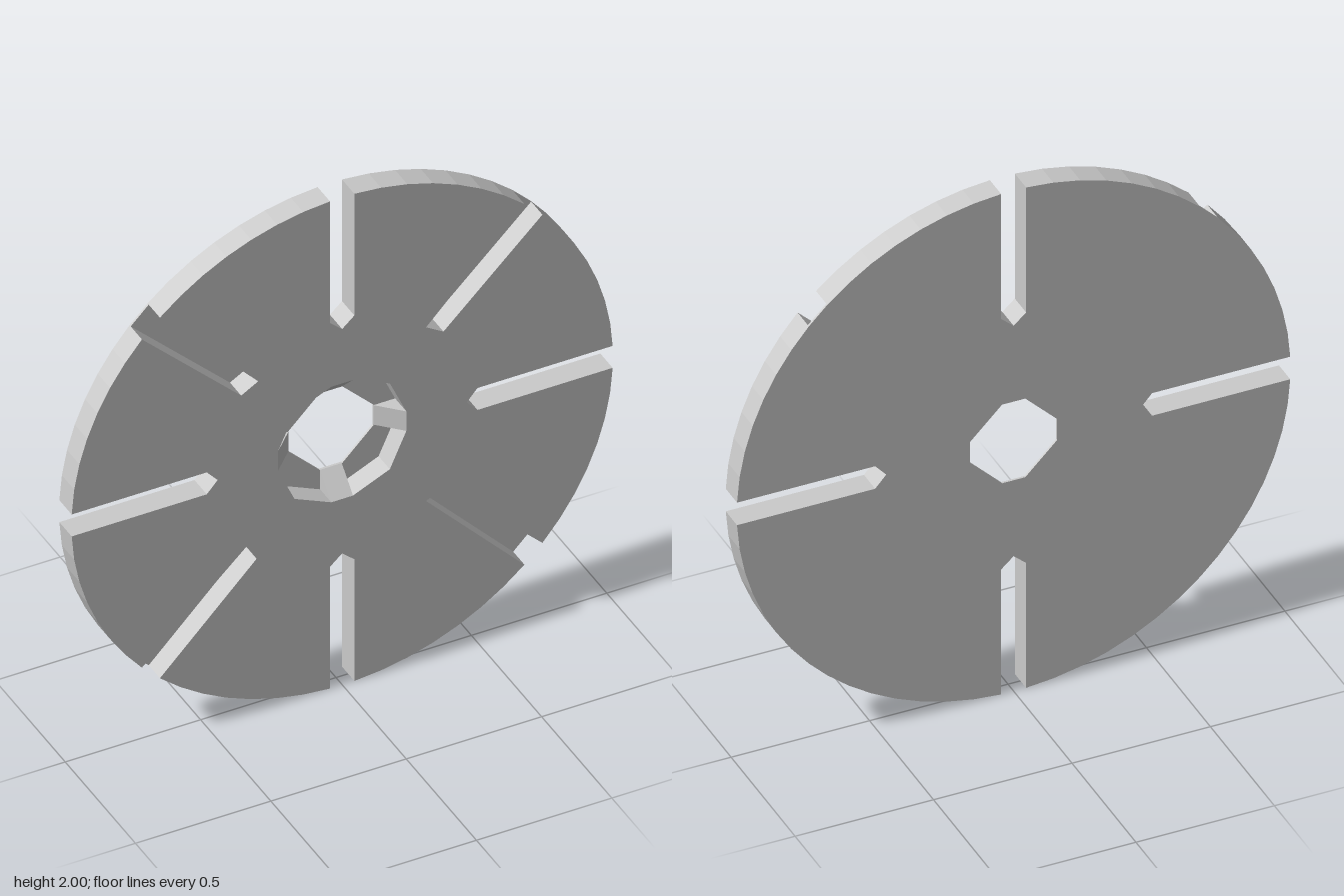
import * as THREE from 'three';

const FRONT = 0.044, BACK = -0.044, FLOOR = -0.036; // z levels
const SLOT = 0.045; // half width of the through slots
const STEPS = 7; // rim facets per half quadrant
const mat = new THREE.MeshStandardMaterial({ color: 0xcccccc, flatShading: true });

const V = (x, y) => new THREE.Vector2(x, y);
const turn = (pts, k) => pts.map((p) => {
  let [x, y] = [p.x, p.y];
  for (let i = 0; i < k; i++) [x, y] = [-y, x];
  return V(x, y);
});
// repeat one quadrant's points four times round the centre
const fourfold = (quadrant) => [0, 1, 2, 3].flatMap((k) => turn(quadrant(k), k));

function arc(a, b, steps) {
  return Array.from({ length: steps + 1 }, (_, i) => {
    const t = a + (b - a) * i / steps;
    return V(Math.cos(t), Math.sin(t));
  });
}

// flat face at height z, optionally facing backwards
function cap(outline, hole, z, backwards = false) {
  const shape = new THREE.Shape(outline);
  if (hole) shape.holes.push(new THREE.Path(hole));
  const g = new THREE.ShapeGeometry(shape);
  if (backwards) {
    const ix = g.index.array;
    for (let i = 0; i < ix.length; i += 3) [ix[i], ix[i + 1]] = [ix[i + 1], ix[i]];
    g.computeVertexNormals();
  }
  return g.translate(0, 0, z);
}

// wall along a closed outline; counter-clockwise outlines face outwards
function wall(pts, z0, z1) {
  const pos = [];
  pts.forEach((p, i) => {
    const q = pts[(i + 1) % pts.length];
    pos.push(p.x, p.y, z0, q.x, q.y, z0, q.x, q.y, z1);
    pos.push(p.x, p.y, z0, q.x, q.y, z1, p.x, p.y, z1);
  });
  const g = new THREE.BufferGeometry();
  g.setAttribute('position', new THREE.Float32BufferAttribute(pos, 3));
  g.computeVertexNormals();
  return g;
}

export function createModel() {
  const model = new THREE.Group();
  model.name = 'slottedDisc';
  const disc = new THREE.Group();
  disc.name = 'disc';
  disc.position.y = 1;
  model.add(disc);
  const add = (name, geometry) => {
    const m = new THREE.Mesh(geometry, mat);
    m.name = name;
    disc.add(m);
    return m;
  };

  // rim angles: slot edge and both edges of the diagonal groove
  const a0 = Math.asin(SLOT), a1 = Math.PI / 4 - 0.047, a2 = Math.PI / 4 + 0.047;
  const rimA = arc(a0, a1, STEPS);
  const rimB = arc(a2, Math.PI / 2 - a0, STEPS);
  const grooveEnd = (k) => k === 0
    ? [V(0.374, 0.32), V(0.31, 0.36)]
    : [V(0.353, 0.31), V(0.316, 0.373)];
  const slotStart = [V(0.46, 0), V(0.5, SLOT)];
  const slotStop = [V(SLOT, 0.5)];

  // outlines of the grooved front layer and the thin back layer
  const frontOutline = fourfold((k) => [...slotStart, ...rimA, ...grooveEnd(k), ...rimB, ...slotStop]);
  const backOutline = fourfold(() => [...slotStart, ...rimA, ...rimB, ...slotStop]);
  const recess = fourfold(() => [V(0.237, 0.04), V(0.176, 0.176), V(0.04, 0.237)]);
  const bore = fourfold(() => [V(0.157, 0.042), V(0.042, 0.157)]);
  const reversed = (pts) => [...pts].reverse();

  // disc faces and edges
  add('frontFace', cap(frontOutline, recess, FRONT));
  add('backFace', cap(backOutline, bore, BACK, true));
  add('frontEdge', wall(frontOutline, FLOOR, FRONT));
  add('backEdge', wall(backOutline, BACK, FLOOR));

  // central recess and through bore
  add('recessWall', wall(reversed(recess), FLOOR, FRONT));
  add('recessFloor', cap(recess, bore, FLOOR));
  add('boreWall', wall(reversed(bore), BACK, FLOOR));

  for (let k = 0; k < 4; k++) {
    // diagonal groove floor
    const [p, q] = grooveEnd(k);
    add('grooveFloor', cap(turn([p, ...arc(a1, a2, 1), q], k), null, FLOOR));

    // sloping wedge from the recess rim down to the bore
    const section = new THREE.Shape([V(0.157, FLOOR), V(0.237, FLOOR), V(0.237, FRONT)]);
    const wedge = new THREE.ExtrudeGeometry(section, { depth: 0.08, bevelEnabled: false });
    wedge.translate(0, 0, -0.04).rotateX(Math.PI / 2).rotateZ(k * Math.PI / 2);
    add('recessRamp', wedge);
  }
  return model;
}
